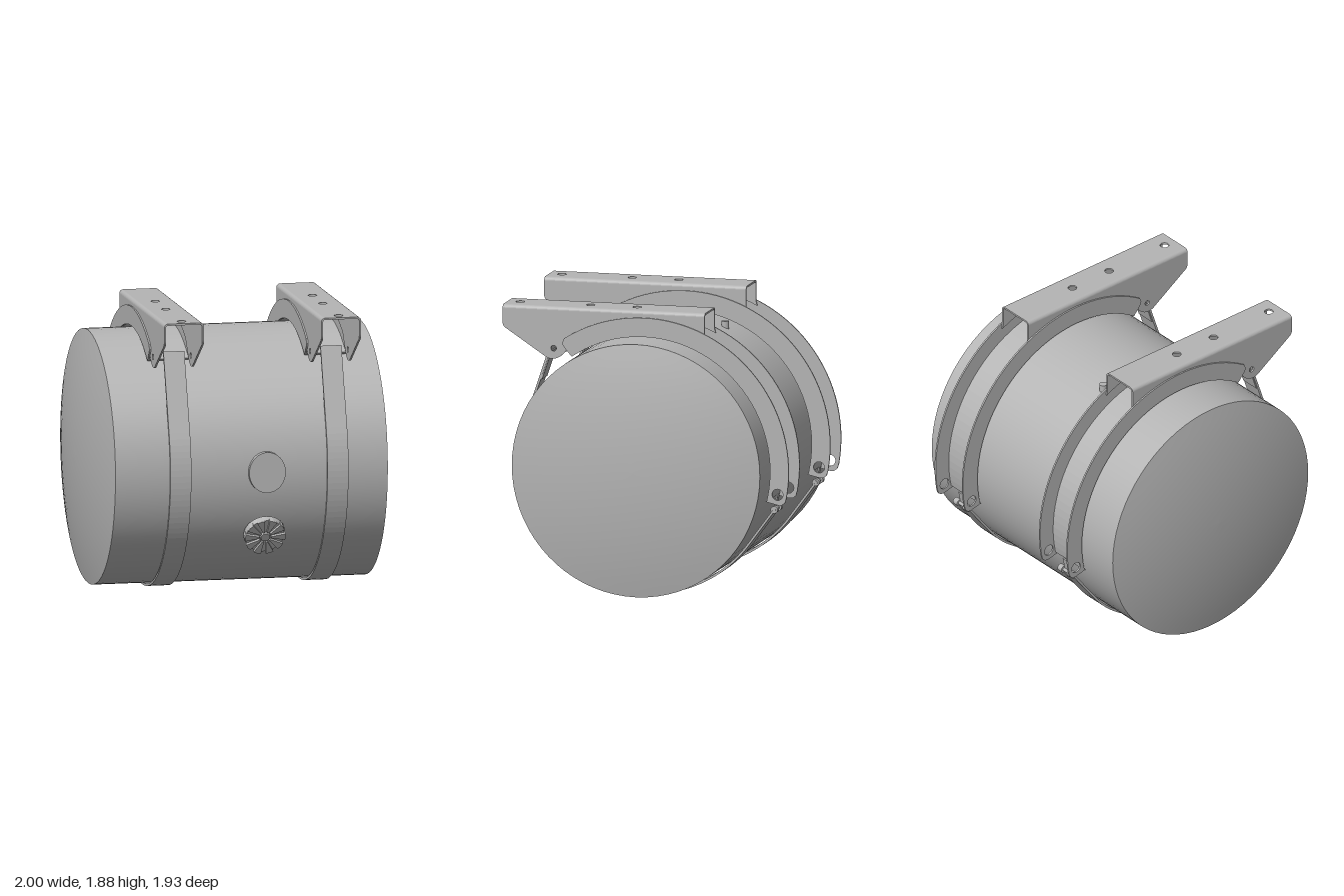
import * as THREE from 'three';

const CY = 0.865, CZ = 0.01, R = 0.838;          // tank axis and radius
const rad = THREE.MathUtils.degToRad;
const steel = new THREE.MeshStandardMaterial({ color: 0xb4b4b4 });
steel.name = 'steelGrey';

function add(parent, name, geometry, x = 0, y = 0, z = 0) {
  const mesh = new THREE.Mesh(geometry, steel);
  mesh.name = name;
  mesh.position.set(x, y, z);
  parent.add(mesh);
  return mesh;
}

// point (z, y) at an angle and radius about the tank axis
const polar = (deg, r) => new THREE.Vector2(CZ + r * Math.cos(rad(deg)), CY + r * Math.sin(rad(deg)));

function arc(from, to, r, n = 40) {
  return Array.from({ length: n + 1 }, (_, i) => polar(from + (to - from) * i / n, r));
}

function addHole(shape, x, y, r) {
  shape.holes.push(new THREE.Path().absarc(x, y, r, 0, Math.PI * 2, true));
}

// extrude a (z, y) outline across x, centred on x = 0
function sideExtrude(shape, width) {
  const g = new THREE.ExtrudeGeometry(shape, { depth: width, bevelEnabled: false, curveSegments: 20 });
  g.translate(0, 0, -width / 2);
  return g.rotateY(-Math.PI / 2);
}

function buildTank(root) {
  const body = new THREE.CylinderGeometry(R, R, 1.82, 72, 1, true).rotateZ(-Math.PI / 2);
  add(root, 'tankBody', body, 0, CY, CZ);
  // shallow spherical end caps
  const bulge = 0.09, sphere = (R * R + bulge * bulge) / (2 * bulge), half = Math.asin(R / sphere);
  const profile = Array.from({ length: 11 }, (_, i) => {
    const a = half * (1 - i / 10);
    return new THREE.Vector2(Math.max(0, sphere * Math.sin(a)), 1 - sphere + sphere * Math.cos(a));
  });
  for (const side of [1, -1]) {
    const dome = new THREE.LatheGeometry(profile, 72).rotateZ(-side * Math.PI / 2);
    add(root, side > 0 ? 'leftEndCap' : 'rightEndCap', dome, 0, CY, CZ);
  }
  // flat round boss on the front and small vent plug on top
  const boss = new THREE.CylinderGeometry(0.122, 0.122, 0.07, 40).rotateX(Math.PI / 2);
  boss.scale(1, 1.1, 1);
  add(root, 'frontBoss', boss, 0.1, CY, 0.842);
  add(root, 'ventPlug', new THREE.CylinderGeometry(0.025, 0.025, 0.06, 16), -0.195, 1.653, -0.3);
}

function buildFillerCap(root) {
  const cap = new THREE.Group();
  cap.name = 'fillerCap';
  cap.position.set(0.1, 0.463, 0.744);
  cap.rotation.x = rad(119);
  add(cap, 'neck', new THREE.CylinderGeometry(0.105, 0.105, 0.06, 32), 0, 0.005, 0);
  add(cap, 'capDisc', new THREE.CylinderGeometry(0.128, 0.137, 0.035, 40), 0, 0.045, 0);
  add(cap, 'hub', new THREE.CylinderGeometry(0.03, 0.035, 0.022, 20), 0, 0.068, 0);
  // ring of wedge-shaped grips
  for (let i = 0; i < 10; i++) {
    const wedge = new THREE.Shape([[0.04, -0.006], [0.132, -0.026], [0.137, 0], [0.132, 0.026], [0.04, 0.006]]
      .map(p => new THREE.Vector2(...p)));
    const g = new THREE.ExtrudeGeometry(wedge, { depth: 0.045, bevelEnabled: false }).rotateX(-Math.PI / 2);
    add(cap, 'grip', g, 0, 0.035, 0).rotation.y = i * Math.PI / 5;
  }
  root.add(cap);
}

// curved saddle: two flanges and a web lying on the tank
function buildSaddle(bracket) {
  const v = (x, y) => new THREE.Vector2(x, y);
  const outline = [
    ...arc(60.5, 190, 0.98), v(-0.945, 0.662), v(-0.925, 0.647), v(-0.9, 0.645), v(-0.815, 0.665),
    ...arc(193, 55.3, 0.855), v(0.553, 1.635), v(0.56, 1.655), v(0.548, 1.685),
  ];
  const flange = new THREE.Shape(outline);
  addHole(flange, -0.895, 0.715, 0.037);
  for (const s of [-1, 1]) add(bracket, 'saddleFlange', sideExtrude(flange, 0.012), s * 0.137);
  const web = new THREE.Shape([...arc(55.3, 192.5, 0.868), ...arc(192.5, 55.3, 0.853)]);
  add(bracket, 'saddleWeb', sideExtrude(web, 0.27));
}

// folded mounting channel open at the bottom and both ends
function buildChannel(bracket) {
  const t = 0.012, half = 0.1325, r = 0.025, top = 1.89, front = 0.965, back = -0.4;
  const side = new THREE.Shape();
  side.moveTo(back, top - r);
  side.lineTo(back, 1.745);
  for (const p of arc(116, 62, 0.95, 20)) side.lineTo(p.x, p.y);
  side.lineTo(0.55, 1.585);
  side.quadraticCurveTo(0.62, 1.515, 0.69, 1.568);
  side.lineTo(0.935, 1.73);
  side.quadraticCurveTo(front, 1.745, front, 1.775);
  side.lineTo(front, top - r);
  side.closePath();
  addHole(side, 0.62, 1.615, 0.019);

  const plate = new THREE.Shape();
  const w = half - r;
  plate.moveTo(-w, -front);
  plate.lineTo(w, -front);
  plate.lineTo(w, -back);
  plate.lineTo(-w, -back);
  plate.closePath();
  for (const z of [0.09, 0.405, 0.88]) addHole(plate, 0, -z, 0.029);
  const plateGeo = new THREE.ExtrudeGeometry(plate, { depth: t, bevelEnabled: false, curveSegments: 16 });
  add(bracket, 'channelTop', plateGeo.rotateX(-Math.PI / 2), 0, top - t, 0);

  for (const s of [-1, 1]) {
    add(bracket, 'channelSide', sideExtrude(side, t), s * (half - t / 2));
    const a0 = s > 0 ? 0 : Math.PI / 2;
    const bend = new THREE.Shape();
    bend.absarc(0, 0, r, a0, a0 + Math.PI / 2, false);
    bend.absarc(0, 0, r - t, a0 + Math.PI / 2, a0, true);
    const g = new THREE.ExtrudeGeometry(bend, { depth: front - back, bevelEnabled: false, curveSegments: 6 });
    add(bracket, 'channelBend', g, s * w, top - r, back);
  }
}

// strap running from the channel, under the tank, to the rear hinge
function buildStrap(bracket) {
  const start = 18.5, end = -144;
  const edge = r => {
    const shift = (z, y, deg) => new THREE.Vector2(
      z + (r - 0.852) * Math.cos(rad(deg)), y + (r - 0.852) * Math.sin(rad(deg)));
    return [shift(0.645, 1.65, start), ...arc(start, end, r, 60), shift(-0.845, 0.59, end)];
  };
  const strap = new THREE.Shape([...edge(0.86), ...edge(0.845).reverse()]);
  add(bracket, 'strap', sideExtrude(strap, 0.14));
  // doubled strap end just below the channel
  const tab = add(bracket, 'strapTab', new THREE.BoxGeometry(0.13, 0.2, 0.01), 0, 1.49, 0.689);
  tab.rotation.x = -rad(start);
  // hinge knuckles and pin
  const roll = (name, r, len, x) =>
    add(bracket, name, new THREE.CylinderGeometry(r, r, len, 16).rotateZ(Math.PI / 2), x, 0.6, -0.852);
  roll('hingePin', 0.012, 0.14, 0);
  for (const x of [-0.048, 0.048]) roll('hingeKnuckle', 0.024, 0.04, x);
  const leaf = add(bracket, 'hingeLeaf', new THREE.BoxGeometry(0.05, 0.11, 0.01), 0, 0.64, -0.85);
  leaf.rotation.x = rad(-12);
}

export function createModel() {
  const root = new THREE.Group();
  root.name = 'strappedTank';
  buildTank(root);
  buildFillerCap(root);
  for (const x of [-0.477, 0.573]) {
    const bracket = new THREE.Group();
    bracket.name = x < 0 ? 'rightBracket' : 'leftBracket';
    bracket.position.x = x;
    buildSaddle(bracket);
    buildChannel(bracket);
    buildStrap(bracket);
    root.add(bracket);
  }
  return root;
}
